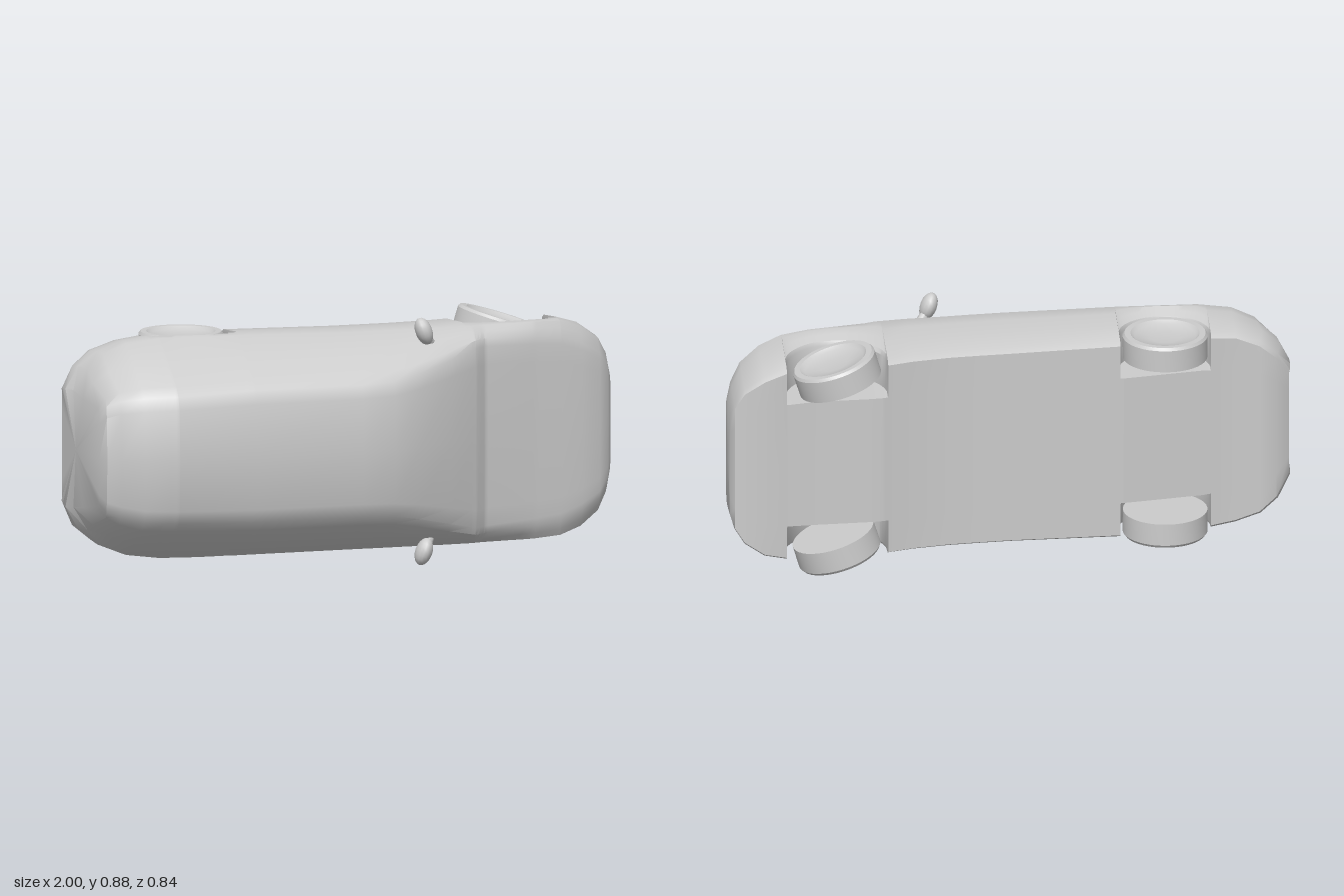
import * as THREE from 'three';
import { toCreasedNormals } from 'three/addons/utils/BufferGeometryUtils.js';

const grey = new THREE.MeshStandardMaterial({ color: 0xcccccc });
const MID = 0.44; // the car lies on its side, roof towards +z, nose towards +x
const WHEELS = [
  { name: 'rearWheel', x: -0.55, z: -0.135, out: 0.335, steer: 0, well: 0.162 },
  { name: 'frontWheel', x: 0.62, z: -0.275, out: 0.33, steer: -0.3, well: 0.18 },
];

// Stations along the car: x, floor, belt line, roof, half width, roof half width
const STATIONS = [
  [-1, -0.08, 0.03, 0.3, 0.21, 0.17],
  [-0.965, -0.12, 0.06, 0.335, 0.29, 0.2],
  [-0.9, -0.13, 0.08, 0.355, 0.345, 0.22],
  [-0.8, -0.125, 0.09, 0.4, 0.38, 0.235],
  [-0.68, -0.15, 0.09, 0.415, 0.395, 0.24],
  [-0.4, -0.2, 0.09, 0.385, 0.395, 0.25],
  [0, -0.225, 0.08, 0.345, 0.39, 0.25],
  [0.12, -0.235, 0.07, 0.325, 0.39, 0.255],
  [0.22, -0.245, 0.06, 0.28, 0.39, 0.275],
  [0.35, -0.27, 0.05, 0.205, 0.39, 0.31],
  [0.46, -0.305, 0.035, 0.125, 0.39, 0.34],
  [0.5, -0.31, 0.02, 0.085, 0.39, 0.34],
  [0.7, -0.32, -0.02, 0.012, 0.39, 0.33],
  [0.8, -0.335, -0.05, -0.02, 0.385, 0.32],
  [0.88, -0.355, -0.08, -0.045, 0.36, 0.29],
  [0.95, -0.35, -0.11, -0.075, 0.31, 0.25],
  [0.985, -0.345, -0.14, -0.1, 0.25, 0.2],
  [1, -0.32, -0.17, -0.13, 0.2, 0.16],
];
// Tail outline: height, inset from the rearmost point
const TAIL = [[-0.13, 0.03], [-0.06, 0], [0, 0], [0.05, 0.04], [0.2, 0.03], [0.25, 0.065], [0.32, 0.05], [0.42, 0.05]];

const { lerp, clamp } = THREE.MathUtils;

// Linear lookup of a table row by its first column
function lookup(table, v) {
  let i = 0;
  while (i < table.length - 2 && table[i + 1][0] < v) i++;
  const [a, b] = [table[i], table[i + 1]];
  const t = clamp((v - a[0]) / (b[0] - a[0]), 0, 1);
  return a.map((n, k) => lerp(n, b[k], t));
}

// Closed cross-section at x, with the floor raised over the wheels
function section(x) {
  const [, floor, belt, roof, w, wt] = lookup(STATIONS, x);
  let arch = floor;
  for (const k of WHEELS) {
    const d = k.well ** 2 - (x - k.x) ** 2;
    if (d > 0) arch = Math.max(arch, k.z + Math.sqrt(d));
  }
  const side = (t) => lerp(arch, belt, t);
  const glass = (t) => lerp(belt, roof, t);
  const half = [
    [0, floor], [0.6 * w, floor], [0.61 * w, arch], [0.91 * w, arch],
    [0.945 * w, side(0.09)], [0.975 * w, side(0.45)], [w, side(0.75)], [0.99 * w, belt],
    [lerp(w, wt, 0.42), glass(0.4)], [lerp(w, wt, 0.88), glass(0.8)],
    [wt * 0.94, glass(0.91)], [wt * 0.75, glass(0.97)], [0, roof],
  ];
  const other = half.slice(1, -1).reverse().map(([y, z]) => [-y, z]);
  const fade = clamp((-0.8 - x) / 0.2, 0, 1);
  return [...half, ...other].map(([y, z]) => [x + fade * lookup(TAIL, z)[1], MID + y, z]);
}

function bodyGeometry() {
  // Finer slices around the wheel arches
  const xs = STATIONS.map((s) => s[0]);
  for (const k of WHEELS) for (let i = -12; i <= 12; i++) xs.push(k.x + k.well * Math.sin((i / 12) * Math.PI / 2));
  xs.sort((a, b) => a - b);
  const rings = xs.filter((x, i) => i === 0 || x - xs[i - 1] > 1e-4).map(section);
  const n = rings[0].length;
  const points = rings.flat();
  const index = [];
  for (let i = 0; i < rings.length - 1; i++) {
    for (let j = 0; j < n; j++) {
      const a = i * n + j, b = i * n + (j + 1) % n;
      index.push(a, b, a + n, b, b + n, a + n);
    }
  }
  // Close the tail and the nose
  for (const [r, flip] of [[0, true], [rings.length - 1, false]]) {
    const c = points.length;
    const mean = [0, 1, 2].map((k) => rings[r].reduce((s, p) => s + p[k], 0) / n);
    points.push(mean);
    for (let j = 0; j < n; j++) {
      const a = r * n + j, b = r * n + (j + 1) % n;
      index.push(c, flip ? b : a, flip ? a : b);
    }
  }
  const geo = new THREE.BufferGeometry();
  geo.setAttribute('position', new THREE.Float32BufferAttribute(points.flat(), 3));
  geo.setIndex(index);
  return toCreasedNormals(geo, 0.6);
}

function add(parent, geo, name) {
  const mesh = new THREE.Mesh(geo, grey);
  mesh.name = name;
  parent.add(mesh);
  return mesh;
}

export function createModel() {
  const car = new THREE.Group();
  car.name = 'car';
  add(car, bodyGeometry(), 'body');

  // Wheel with a dished outer face
  const profile = [[0, -0.045], [0.149, -0.045], [0.15, 0.035], [0.143, 0.045], [0.122, 0.045], [0.108, 0.034], [0.05, 0.026], [0, 0.026]];
  const wheelGeo = toCreasedNormals(new THREE.LatheGeometry(profile.map((p) => new THREE.Vector2(...p)), 40), 0.6);
  const shellGeo = new THREE.SphereGeometry(1, 14, 10);
  const armGeo = new THREE.CylinderGeometry(0.014, 0.02, 0.07, 8);

  for (const s of [1, -1]) {
    const label = s > 0 ? 'Upper' : 'Lower';
    for (const k of WHEELS) {
      const wheel = add(car, wheelGeo, k.name + label);
      wheel.position.set(k.x, MID + s * k.out, k.z);
      wheel.rotation.order = 'ZYX';
      wheel.rotation.set(s > 0 ? 0 : Math.PI, 0, k.steer);
    }
    // Door mirror: shell on a short arm
    const mirror = new THREE.Group();
    mirror.name = 'mirror' + label;
    mirror.position.set(0.262, MID + s * 0.392, 0.148);
    const shell = add(mirror, shellGeo, 'mirrorShell');
    shell.scale.set(0.03, 0.05, 0.038);
    shell.rotation.z = s * 0.35;
    const arm = add(mirror, armGeo, 'mirrorArm');
    arm.position.set(0.022, -s * 0.035, -0.022);
    arm.rotation.set(s * 0.7, 0, s * 0.5);
    car.add(mirror);
  }
  return car;
}
